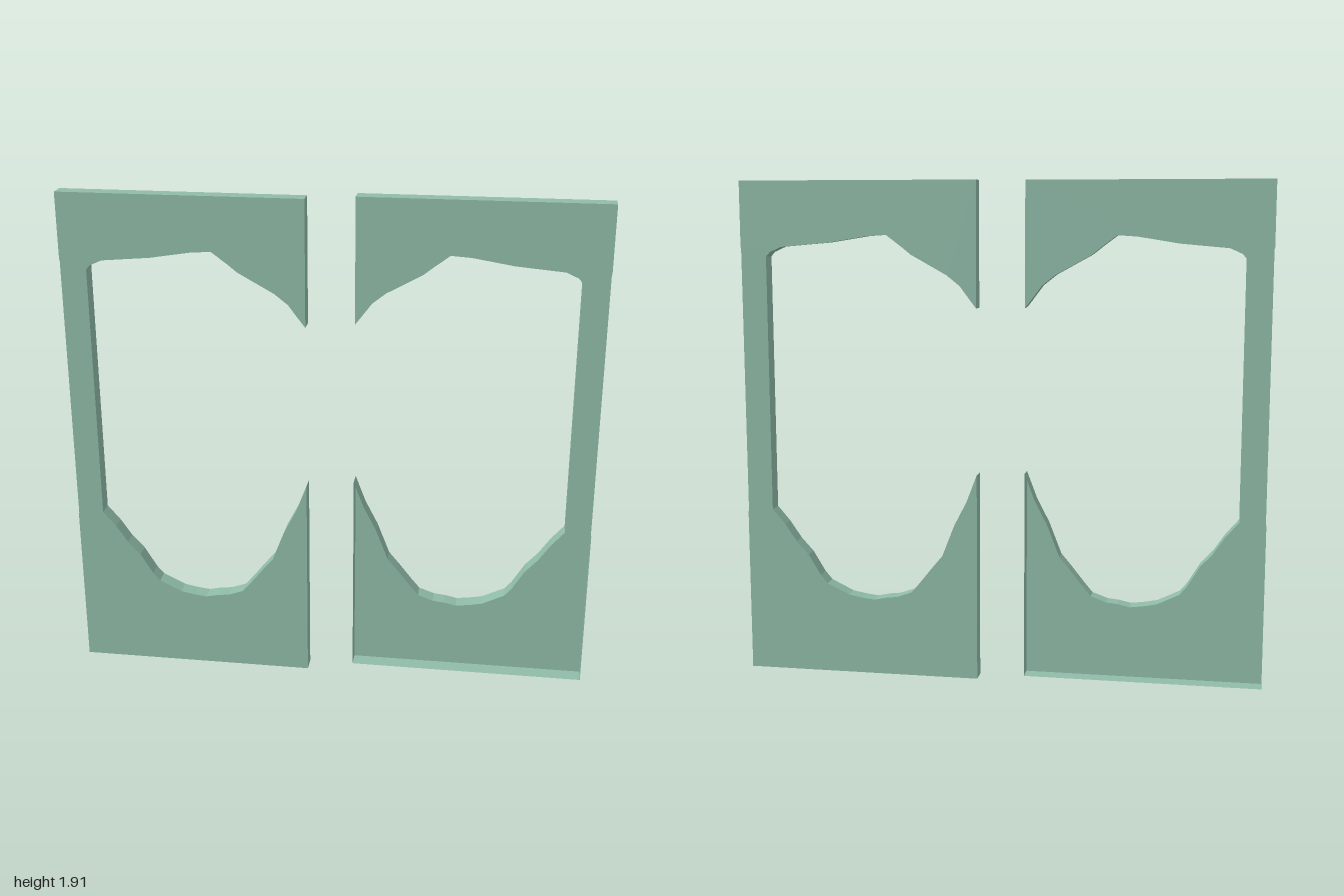
import * as THREE from 'three';

const DEPTH = 0.063;
const INNER = 0.087, HOLE = 0.9, OUTER = 1, TOP = 1.91;
const STILE_BOTTOM = 0.633, STILE_TOP = 1.66;

// Upper edge of the opening, from the centre gap outwards
const upperCurve = [
  [INNER, 1.437], [0.105, 1.46], [0.15, 1.52], [0.2, 1.56], [0.335, 1.635], [0.37, 1.663],
  [0.43, 1.708], [0.505, 1.703], [0.66, 1.678], [0.84, 1.662], [0.885, 1.642], [HOLE, 1.625],
];

// Lower edge of the opening, from the centre gap outwards
const lowerCurve = [
  [INNER, 0.805], [0.127, 0.7], [0.175, 0.607], [0.223, 0.484], [0.26, 0.44], [0.314, 0.372],
  [0.346, 0.334], [0.405, 0.313], [0.45, 0.308], [0.496, 0.298], [0.544, 0.304], [0.597, 0.314],
  [0.683, 0.356], [0.71, 0.388], [0.758, 0.468], [0.806, 0.521], [0.85, 0.586], [HOLE, 0.645],
];

const toShape = (points) => new THREE.Shape(points.map(([x, y]) => new THREE.Vector2(x, y)));

// Strip of walls around an outline, between z = -DEPTH and z = 0
function wallGeometry(points) {
  const pos = [];
  points.forEach(([ax, ay], i) => {
    const [bx, by] = points[(i + 1) % points.length];
    pos.push(ax, ay, -DEPTH, bx, by, -DEPTH, bx, by, 0);
    pos.push(ax, ay, -DEPTH, bx, by, 0, ax, ay, 0);
  });
  const geometry = new THREE.BufferGeometry();
  geometry.setAttribute('position', new THREE.Float32BufferAttribute(pos, 3));
  geometry.computeVertexNormals();
  return geometry;
}

function addMesh(parent, name, geometry, material) {
  const mesh = new THREE.Mesh(geometry, material);
  mesh.name = name;
  parent.add(mesh);
  return mesh;
}

function createPanel(name, material) {
  const panel = new THREE.Group();
  panel.name = name;

  // Solid top rail with the wavy underside
  const upper = toShape([...upperCurve, [OUTER, STILE_TOP], [OUTER, TOP], [INNER, TOP]]);
  addMesh(panel, 'upperRail',
    new THREE.ExtrudeGeometry(upper, { depth: DEPTH, bevelEnabled: false }).translate(0, 0, -DEPTH), material);

  // Outer upright
  const height = STILE_TOP - STILE_BOTTOM;
  const stile = addMesh(panel, 'stile', new THREE.BoxGeometry(OUTER - HOLE - 0.002, height, DEPTH), material);
  stile.position.set((HOLE + OUTER - 0.002) / 2, STILE_BOTTOM + height / 2, -DEPTH / 2);

  // Lower rail: a hollow tray, open on its inner side
  const outline = [[INNER, 0], [OUTER, 0], [OUTER, STILE_BOTTOM], ...[...lowerCurve].reverse()];
  addMesh(panel, 'lowerRailFace', new THREE.ShapeGeometry(toShape(outline)).translate(0, 0, -DEPTH), material);
  addMesh(panel, 'lowerRailWalls', wallGeometry(outline), material);
  return panel;
}

export function createModel() {
  const model = new THREE.Group();
  model.name = 'doublePanelFrame';
  const material = new THREE.MeshStandardMaterial({ color: 0x8fbba8, side: THREE.DoubleSide, flatShading: true });

  // The second panel is the first one turned half way round
  const left = createPanel('leftPanel', material);
  const right = createPanel('rightPanel', material);
  right.rotation.y = Math.PI;
  model.add(left, right);
  return model;
}
